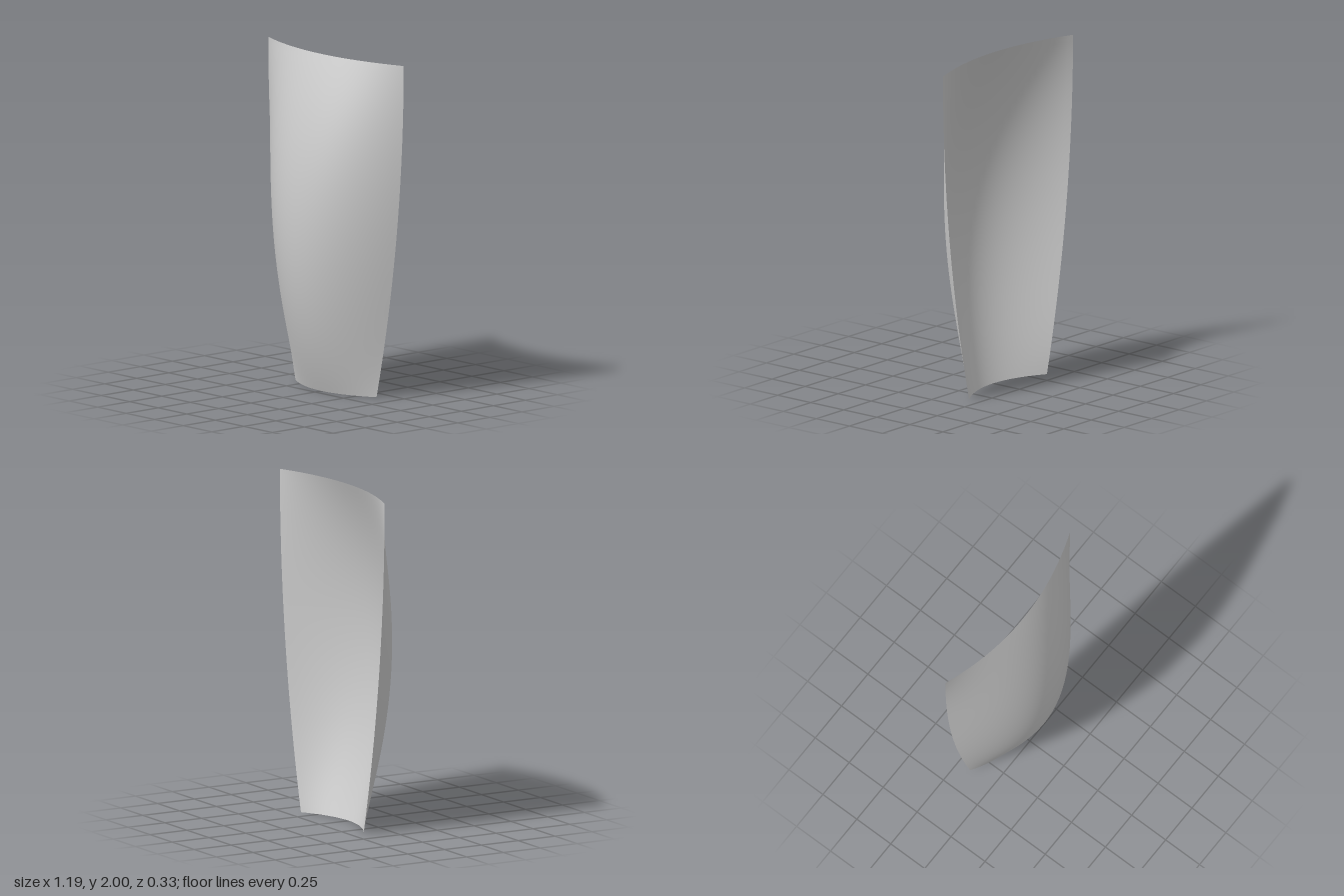
import * as THREE from 'three';

export function createModel() {
  const group = new THREE.Group();
  const material = new THREE.MeshStandardMaterial({ color: 0xcccccc, side: THREE.DoubleSide });

  // Curved shell: a plane bent by parabolas across its width and its height
  const geometry = new THREE.PlaneGeometry(2, 2, 40, 48);
  const pos = geometry.attributes.position;
  const edgeZ = -0.163;
  for (let i = 0; i < pos.count; i++) {
    const s = pos.getX(i);                                    // -1..1 across
    const v = pos.getY(i);                                    // -1..1 bottom to top
    const t = (v + 1) / 2;
    const halfWidth = 0.593 - 0.238 * (1 - t) ** 2;           // flares upward, upright at the top
    const depth = 0.113 + 0.213 * (1 - v * v);                // bulges most at mid height
    pos.setXYZ(i, s * halfWidth, v + 1, edgeZ + depth * (1 - s * s));
  }
  geometry.computeVertexNormals();

  const shell = new THREE.Mesh(geometry, material);
  shell.name = 'curvedShell';
  group.add(shell);
  return group;
}
